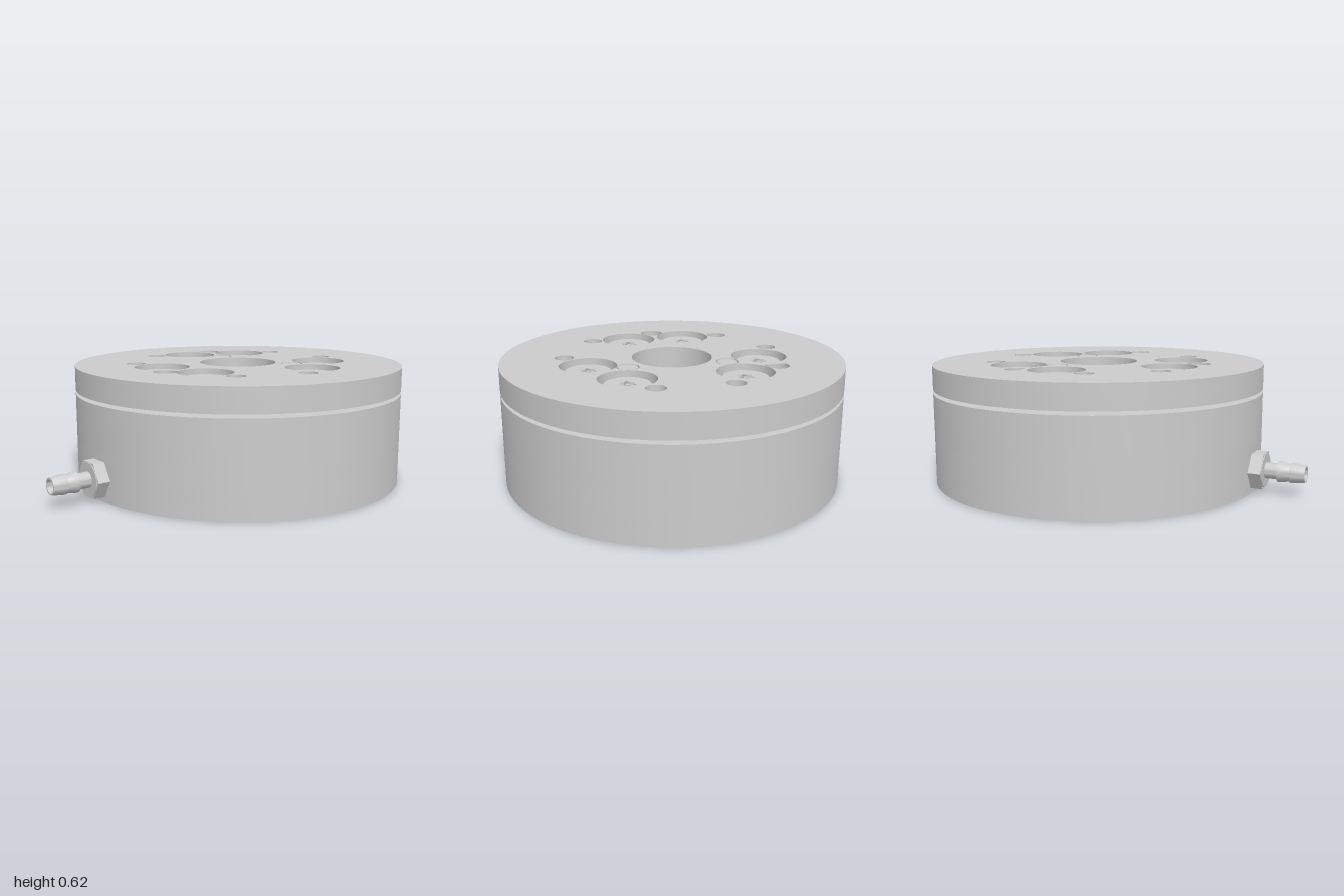
import * as THREE from 'three';
import { toCreasedNormals } from 'three/addons/utils/BufferGeometryUtils.js';

const mat = new THREE.MeshStandardMaterial({ color: 0xcccccc });
const rad = THREE.MathUtils.degToRad;
const R = 0.875;
const BORE = 0.19;
const FOLDS = [0, 120, 240];

// Angle is measured from the front (+z) towards the left (+x)
const polar = (deg, r) => [r * Math.sin(rad(deg)), r * Math.cos(rad(deg))];
const hole = (deg, d, r) => ({ deg, d, r });
const pairs = (offset, d, r) => FOLDS.flatMap(f => [hole(f - offset, d, r), hole(f + offset, d, r)]);

function mesh(name, geo, parent) {
  const m = new THREE.Mesh(geo, mat);
  m.name = name;
  parent.add(m);
  return m;
}

function disc(r) {
  const s = new THREE.Shape();
  s.absarc(0, 0, r, 0, Math.PI * 2);
  return s;
}

// Upright slab from y0 to y1 with round holes
function slab(shape, y0, y1, holes, segments = 48) {
  for (const h of holes) {
    const [x, z] = polar(h.deg, h.d);
    const p = new THREE.Path();
    p.absarc(x, -z, h.r, 0, Math.PI * 2, true);
    shape.holes.push(p);
  }
  const g = new THREE.ExtrudeGeometry(shape, { depth: y1 - y0, bevelEnabled: false, curveSegments: segments });
  g.rotateX(-Math.PI / 2);
  g.translate(0, y0, 0);
  return toCreasedNormals(g, 0.5);
}

// Three lobes on a shared radius, joined by straight flats
function spacerShape() {
  const s = new THREE.Shape();
  FOLDS.forEach((f, i) => {
    const pts = [polar(f - 38, 0.5)];
    for (let a = -36; a <= 36; a += 4) pts.push(polar(f + a, 0.575));
    pts.push(polar(f + 38, 0.5));
    pts.forEach(([x, z], j) => (i + j === 0 ? s.moveTo(x, -z) : s.lineTo(x, -z)));
  });
  s.closePath();
  return s;
}

// Screw head, top at y = 0, with a six-pointed socket and centre pin
function screwHead(r) {
  const g = new THREE.Group();
  g.name = 'screw';
  const face = disc(r - 0.006);
  const star = new THREE.Path();
  for (let i = 0; i < 12; i++) {
    const [x, z] = polar(i * 30, i % 2 ? 0.028 : 0.047);
    i ? star.lineTo(x, z) : star.moveTo(x, z);
  }
  star.closePath();
  face.holes.push(star);
  mesh('screwSocketFace', slab(face, -0.03, 0, [], 24), g);
  const rim = [[r - 0.006, 0], [r, -0.006], [r, -0.05]].reverse().map(p => new THREE.Vector2(...p));
  mesh('screwRim', toCreasedNormals(new THREE.LatheGeometry(rim, 40), 0.5), g);
  mesh('screwSocketFloor', new THREE.CylinderGeometry(r - 0.002, r - 0.002, 0.02, 40), g).position.y = -0.04;
  mesh('screwPin', new THREE.CylinderGeometry(0.012, 0.012, 0.03, 12), g).position.y = -0.018;
  return g;
}

function pin(name, parent, deg, d, r, y0, y1) {
  const [x, z] = polar(deg, d);
  mesh(name, new THREE.CylinderGeometry(r, r, y1 - y0, 32), parent).position.set(x, (y0 + y1) / 2, z);
}

// Hex nut and barbed hose nozzle, axis along +z
function hoseFitting() {
  const g = new THREE.Group();
  g.name = 'hoseFitting';
  const hex = new THREE.CylinderGeometry(0.1, 0.1, 0.065, 6).toNonIndexed();
  hex.rotateY(Math.PI / 6 + Math.PI / 3);
  hex.rotateX(Math.PI / 2);
  hex.computeVertexNormals();
  mesh('hexNut', hex, g).position.z = 0.9;
  const collar = new THREE.CylinderGeometry(0.085, 0.085, 0.07, 32);
  collar.rotateX(Math.PI / 2);
  mesh('nutCollar', collar, g).position.z = 0.901;
  const profile = [[0.04, 0.92], [0.04, 0.998], [0.052, 1.0], [0.052, 1.012], [0.043, 1.06], [0.05, 1.062],
    [0.05, 1.075], [0.043, 1.135], [0.034, 1.135], [0.034, 1.06], [0, 1.06]];
  const nozzle = new THREE.LatheGeometry(profile.map(p => new THREE.Vector2(...p)), 32);
  nozzle.rotateX(Math.PI / 2);
  mesh('barbedNozzle', toCreasedNormals(nozzle, 0.5), g);
  return g;
}

export function createModel() {
  const model = new THREE.Group();
  model.name = 'clampingModule';
  model.position.z = -0.125;

  // Base body: counterbored underside, blind holes, then solid to the top
  const dowels = FOLDS.map(f => hole(f, 0.75, 0.057));
  const deep = [...dowels, hole(120, 0.5, 0.03), hole(290, 0.765, 0.05), hole(310, 0.765, 0.05)];
  const plugs = [50, 70, 170].map(a => hole(a, 0.765, 0.05));
  // The counterbores cross the dowel holes nowhere, so one outline holds them all
  const base = new THREE.Group();
  base.name = 'baseBody';
  model.add(base);
  mesh('baseUnderside', slab(disc(R), 0, 0.07,
    [hole(0, 0, 0.2), ...deep, ...plugs, ...pairs(20, 0.73, 0.138)]), base);
  mesh('baseMiddle', slab(disc(R), 0.07, 0.25, [hole(0, 0, BORE), ...deep]), base);
  mesh('baseUpper', slab(disc(R), 0.25, 0.475, [hole(0, 0, BORE)]), base);
  for (const p of plugs) pin('basePlug', base, p.deg, p.d, 0.048, 0.001, 0.07);

  // Lobed spacer in the gap
  mesh('spacer', slab(spacerShape(), 0.475, 0.495, [hole(0, 0, BORE)]), model);

  // Top plate with counterbores, dowel holes and threaded holes
  const plate = new THREE.Group();
  plate.name = 'topPlate';
  model.add(plate);
  const through = [hole(0, 0, 0.205), ...pairs(40, 0.55, 0.05), hole(0, 0.546, 0.061), hole(240, 0.546, 0.061)];
  const pinHoles = [120, 240].map(a => hole(a, 0.292, 0.058));
  mesh('plateLower', slab(disc(R), 0.493, 0.55, through), plate);
  mesh('plateUpper', slab(disc(R), 0.55, 0.618, [...through, ...pinHoles, ...pairs(20, 0.448, 0.143)]), plate);
  for (const p of pinHoles) pin('locatingPin', plate, p.deg, p.d, 0.051, 0.55, 0.617);

  // Screws above and below
  for (const h of pairs(20, 0.448, 0)) {
    const [x, z] = polar(h.deg, h.d);
    const s = screwHead(0.118);
    s.position.set(x, 0.593, z);
    model.add(s);
  }
  for (const h of pairs(20, 0.73, 0)) {
    const [x, z] = polar(h.deg, h.d);
    const s = screwHead(0.11);
    s.rotation.x = Math.PI;
    s.position.set(x, 0.026, z);
    model.add(s);
  }

  // Hose fitting on the front, slightly to the right
  const fitting = hoseFitting();
  fitting.position.y = 0.115;
  fitting.rotation.y = rad(-10);
  model.add(fitting);

  const root = new THREE.Group();
  root.name = 'model';
  root.add(model);
  return root;
}
